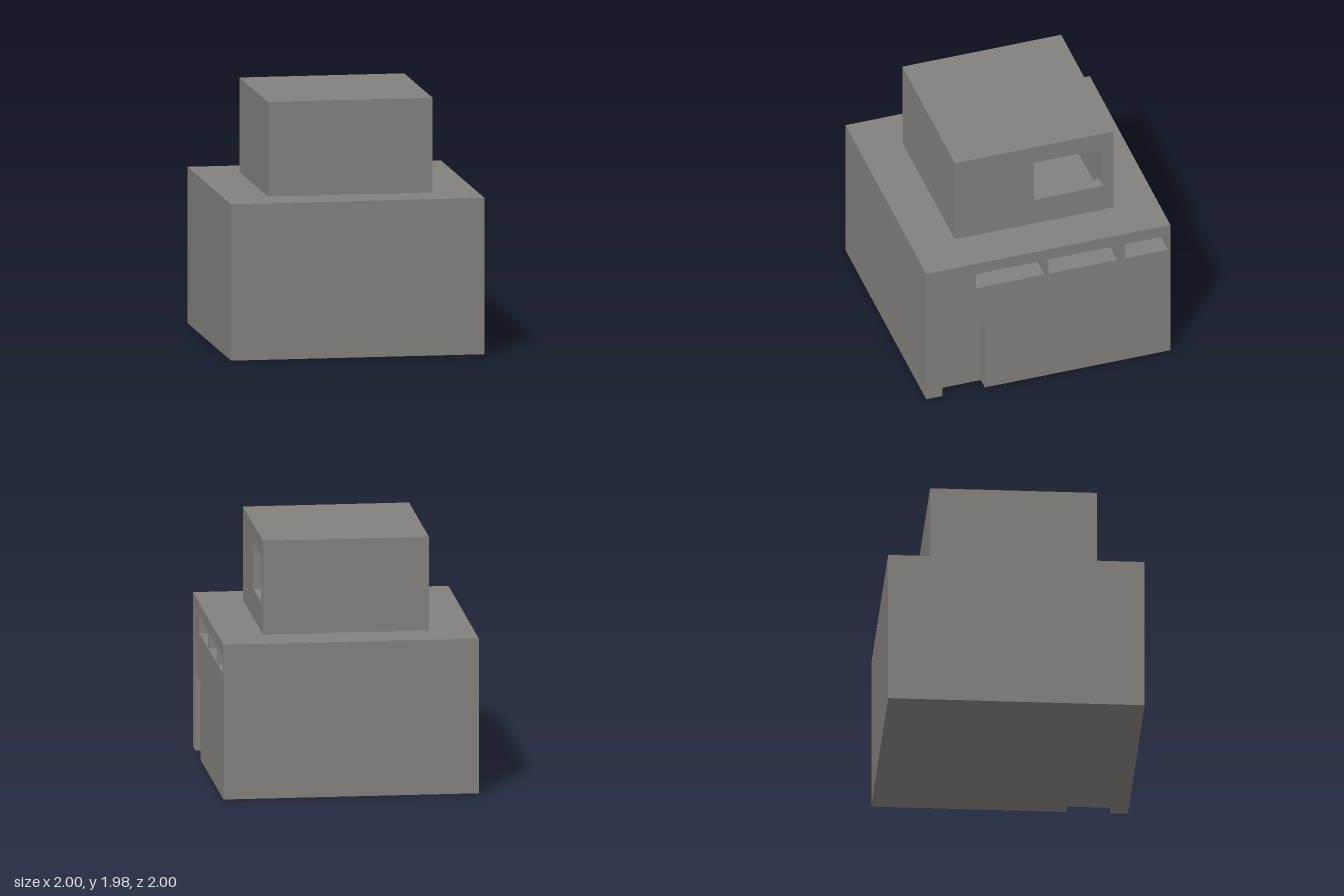
import * as THREE from 'three';

// Key levels: top of the lower block, top of the upper room
const BASE_TOP = 1.23, ROOF_TOP = 1.975;

export function createModel() {
  const model = new THREE.Group();
  model.name = 'blockHouse';
  const concrete = new THREE.MeshStandardMaterial({ color: 0x82807a });
  concrete.name = 'concrete';

  const add = (name, geometry, parent) => {
    const mesh = new THREE.Mesh(geometry, concrete);
    mesh.name = name;
    parent.add(mesh);
  };

  // Box given by its limits on each axis
  const box = (name, [x0, x1], [y0, y1], [z0, z1], parent) => {
    const g = new THREE.BoxGeometry(x1 - x0, y1 - y0, z1 - z0);
    g.translate((x0 + x1) / 2, (y0 + y1) / 2, (z0 + z1) / 2);
    add(name, g, parent);
  };

  // Wall facing +x: outline and holes are drawn with u = -z and v = y
  const wall = (name, [x0, x1], outline, holes, parent) => {
    const shape = new THREE.Shape(outline.map(([u, v]) => new THREE.Vector2(u, v)));
    for (const [u0, u1, v0, v1] of holes) {
      shape.holes.push(new THREE.Path([[u0, v0], [u0, v1], [u1, v1], [u1, v0]]
        .map(([u, v]) => new THREE.Vector2(u, v))));
    }
    const g = new THREE.ExtrudeGeometry(shape, { depth: x1 - x0, bevelEnabled: false });
    g.rotateY(Math.PI / 2);
    g.translate(x0, 0, 0);
    add(name, g, parent);
  };

  // Lower block: core, window layer, and outer layer with the doorway
  const lower = new THREE.Group();
  lower.name = 'lowerBlock';
  model.add(lower);
  const slots = [[-0.59, -0.03, 0.99, 1.13], [0, 0.565, 0.99, 1.13], [0.63, 0.98, 0.99, 1.13]];
  box('core', [-1, 0.7], [0, BASE_TOP], [-1, 1], lower);
  wall('windowLayer', [0.7, 0.9],
    [[-1, 0], [1, 0], [1, BASE_TOP], [-1, BASE_TOP]], slots, lower);
  wall('doorwayLayer', [0.9, 1],
    [[-1, 0], [-0.865, 0], [-0.865, 0.615], [-0.52, 0.615], [-0.52, 0],
      [1, 0], [1, BASE_TOP], [-1, BASE_TOP]], slots, lower);

  // Hollow upper room with one large window
  const upper = new THREE.Group();
  upper.name = 'upperRoom';
  model.add(upper);
  const r = 0.65, inner = 0.6, floor = 1.25, ceiling = 1.92;
  wall('windowWall', [0.55, r],
    [[-r, BASE_TOP], [r, BASE_TOP], [r, ROOF_TOP], [-r, ROOF_TOP]],
    [[0, 0.565, 1.46, 1.825]], upper);
  box('farWall', [-r, -inner], [BASE_TOP, ROOF_TOP], [-r, r], upper);
  for (const [name, z] of [['frontWall', [inner, r]], ['backWall', [-r, -inner]]]) {
    box(name, [-inner, 0.55], [BASE_TOP, ROOF_TOP], z, upper);
  }
  box('floor', [-inner, 0.55], [BASE_TOP, floor], [-inner, inner], upper);
  box('roof', [-inner, 0.55], [ceiling, ROOF_TOP], [-inner, inner], upper);

  return model;
}
